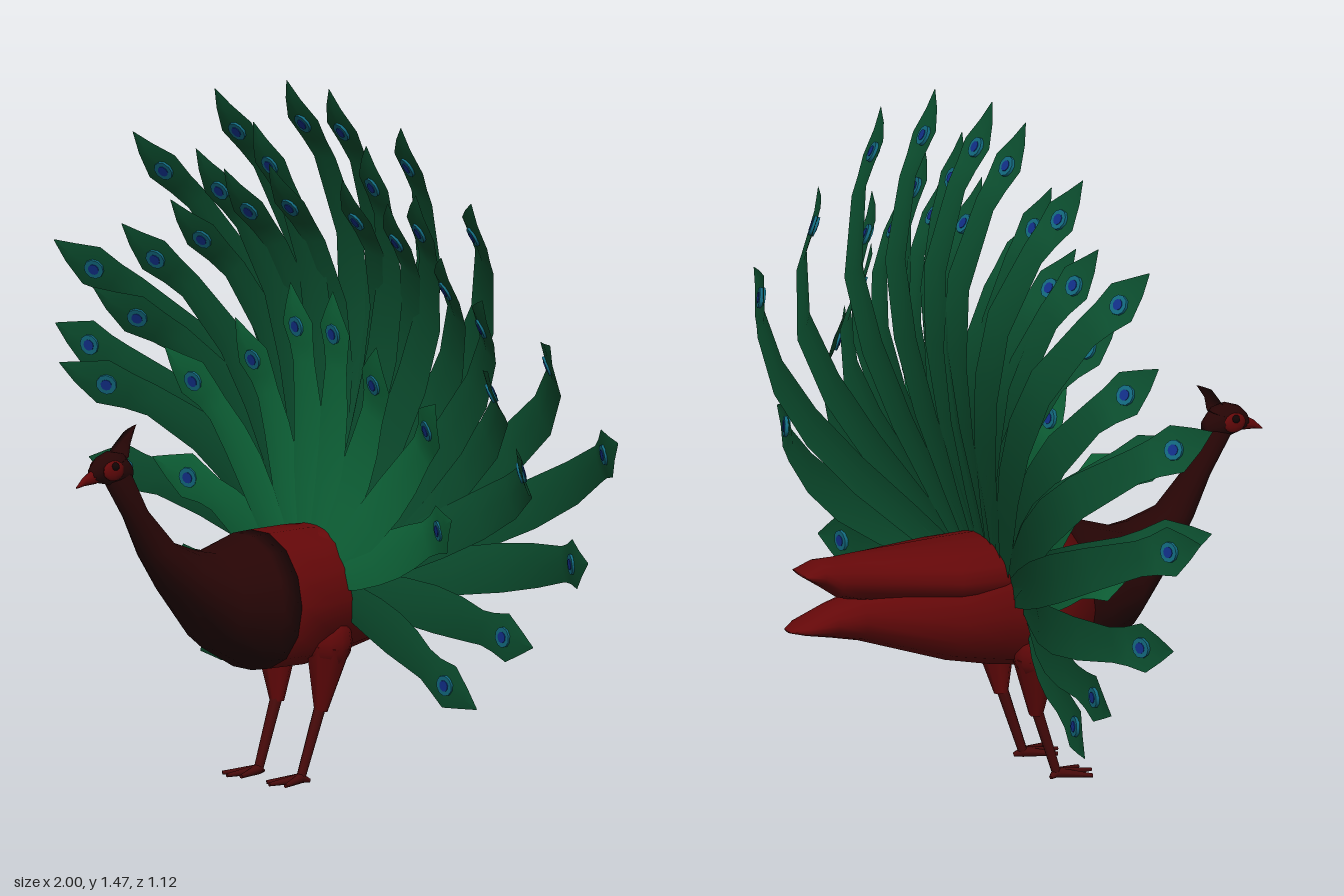
import * as THREE from 'three';

const paint = (color, side = THREE.FrontSide) => new THREE.MeshStandardMaterial({ color, side });
const MAT = {
  dark: paint(0x260505), red: paint(0x640809), leg: paint(0x480a0a), black: paint(0x120404),
  backVane: paint(0x0c5030, THREE.DoubleSide), frontVane: paint(0x0f6a3c, THREE.DoubleSide),
  eyeOuter: paint(0x126a80), eyeInner: paint(0x12308a),
};

function add(parent, name, geometry, material) {
  const mesh = new THREE.Mesh(geometry, material);
  mesh.name = name;
  parent.add(mesh);
  return mesh;
}

// Elliptical rings from front to back, each [z, y, halfWidth, halfHeight, backward tilt]
function loft(sections, n = 14) {
  const first = sections[0], last = sections[sections.length - 1];
  const rings = [[first[0], first[1], 0, 0], ...sections, [last[0], last[1], 0, 0]];
  const pos = [], index = [];
  rings.forEach(([z, y, rx, ry, tilt = 0], i) => {
    for (let j = 0; j < n; j++) {
      const a = (j / n) * Math.PI * 2, h = ry * Math.sin(a);
      pos.push(rx * Math.cos(a), y + h * Math.cos(tilt), z - h * Math.sin(tilt));
      if (i === rings.length - 1) continue;
      const k = (j + 1) % n, p = i * n, q = p + n;
      index.push(p + j, q + j, p + k, p + k, q + j, q + k);
    }
  });
  const g = new THREE.BufferGeometry();
  g.setAttribute('position', new THREE.Float32BufferAttribute(pos, 3));
  g.setIndex(index);
  g.computeVertexNormals();
  return g;
}

// Tapered round limb between two points
function limb(parent, name, from, to, r0, r1, material) {
  const a = new THREE.Vector3(...from), b = new THREE.Vector3(...to);
  const dir = b.clone().sub(a);
  const mesh = add(parent, name, new THREE.CylinderGeometry(r1, r0, dir.length(), 8), material);
  mesh.position.copy(a).add(b).multiplyScalar(0.5);
  mesh.quaternion.setFromUnitVectors(new THREE.Vector3(0, 1, 0), dir.normalize());
}

// Tail feather: a ridged strip that arches back, then curls forward into a diamond tip with an eyespot
function feather(parent, tipX, tipY, tipZ, baseZ, bulgeZ, material) {
  const group = new THREE.Group();
  group.name = 'tailFeather';
  const angle = Math.atan2(tipX, tipY - 0.42);
  const base = new THREE.Vector2(0.1 * Math.sin(angle), 0.42 + 0.03 * Math.cos(angle));
  const tip = new THREE.Vector2(tipX, tipY);
  const length = base.distanceTo(tip);
  const depth = new THREE.SplineCurve([
    [0, baseZ], [0.25, baseZ + (bulgeZ - baseZ) * 0.6], [0.5, bulgeZ],
    [0.75, bulgeZ + (tipZ - bulgeZ) * 0.13], [1, tipZ],
  ].map(p => new THREE.Vector2(...p)));
  const at = t => {
    const p = base.clone().lerp(tip, t);
    return new THREE.Vector3(p.x, p.y, depth.getPoint(t).y);
  };
  const side = new THREE.Vector3(tip.y - base.y, base.x - tip.x, 0).normalize();
  const normalAt = t => {
    const along = at(Math.min(1, t + 0.01)).sub(at(Math.max(0, t - 0.01)));
    return side.clone().cross(along).normalize();
  };
  // Rows of [position along the feather, half width]
  const neck = 1 - 0.17 / length;
  const rows = [[0, 0.028], [0.2, 0.043], [0.4, 0.05], [0.6, 0.052], [0.8, 0.047]].map(([t, w]) => [t * neck, w]);
  rows.push([neck, 0.038], [1 - 0.13 / length, 0.042], [1 - 0.085 / length, 0.053], [1 - 0.04 / length, 0.026], [1, 0.001]);
  const pos = [], index = [];
  rows.forEach(([t, w], i) => {
    const c = at(t), nrm = normalAt(t);
    for (const s of [-1, 0, 1]) {
      const p = c.clone().addScaledVector(side, s * w).addScaledVector(nrm, s ? 0 : w * 0.12);
      pos.push(p.x, p.y, p.z);
    }
    if (i === rows.length - 1) return;
    for (const k of [0, 1]) {
      const a = i * 3 + k;
      index.push(a, a + 1, a + 3, a + 1, a + 4, a + 3);
    }
  });
  const g = new THREE.BufferGeometry();
  g.setAttribute('position', new THREE.Float32BufferAttribute(pos, 3));
  g.setIndex(index);
  g.computeVertexNormals();
  add(group, 'featherVane', g, material);

  const t = 1 - 0.092 / length, nrm = normalAt(t);
  for (const [name, r, thick, mat] of [['eyespotRing', 0.022, 0.012, MAT.eyeOuter], ['eyespotCentre', 0.012, 0.015, MAT.eyeInner]]) {
    const spot = add(group, name, new THREE.CylinderGeometry(r, r, thick, 10), mat);
    spot.position.copy(at(t)).addScaledVector(nrm, 0.003);
    spot.quaternion.setFromUnitVectors(new THREE.Vector3(0, 1, 0), nrm);
  }
  parent.add(group);
}

export function createModel() {
  const model = new THREE.Group();
  model.name = 'peacock';

  // Neck and breast, then rump and the two tail lobes
  add(model, 'neckAndBreast', loft([
    [0.46, 0.68, 0.027, 0.032, 1.25], [0.413, 0.597, 0.029, 0.027, 1.25], [0.357, 0.515, 0.045, 0.041, 1.25],
    [0.295, 0.46, 0.078, 0.059, 0.66], [0.22, 0.395, 0.125, 0.106], [0.135, 0.385, 0.15, 0.145], [0.09, 0.386, 0.151, 0.147],
  ]), MAT.dark);
  add(model, 'rumpAndLowerTail', loft([
    [0.09, 0.386, 0.151, 0.147], [0, 0.388, 0.15, 0.148], [-0.1, 0.395, 0.13, 0.138], [-0.2, 0.39, 0.113, 0.108],
    [-0.4, 0.408, 0.06, 0.052], [-0.46, 0.408, 0.047, 0.037], [-0.53, 0.402, 0.04, 0.013], [-0.56, 0.4, 0.015, 0.003],
  ]), MAT.red);
  add(model, 'upperTail', loft([
    [0.1, 0.45, 0.06, 0.05], [0, 0.465, 0.092, 0.066], [-0.1, 0.473, 0.118, 0.067], [-0.2, 0.478, 0.113, 0.064],
    [-0.4, 0.495, 0.055, 0.051], [-0.45, 0.502, 0.046, 0.043], [-0.49, 0.517, 0.044, 0.028], [-0.53, 0.521, 0.035, 0.004],
  ]), MAT.red);

  // Head, beak and crest
  const head = new THREE.Group();
  head.name = 'head';
  model.add(head);
  add(head, 'skull', loft([
    [0.528, 0.69, 0.012, 0.016], [0.51, 0.698, 0.022, 0.028], [0.48, 0.7, 0.03, 0.037],
    [0.45, 0.695, 0.028, 0.036], [0.428, 0.688, 0.015, 0.018],
  ], 10), MAT.dark);
  add(head, 'beak', loft([[0.565, 0.666, 0.002, 0.002], [0.545, 0.678, 0.008, 0.01], [0.515, 0.688, 0.015, 0.018]], 8), MAT.red);
  add(head, 'crest', loft([
    [0.463, 0.715, 0.026, 0.03, 1.2], [0.45, 0.745, 0.022, 0.02, 1.2], [0.428, 0.778, 0.006, 0.02, 1.15],
  ], 8), MAT.dark);

  for (const s of [-1, 1]) {
    // Face
    const cheek = add(head, 'cheekPatch', new THREE.SphereGeometry(0.024, 10, 8), MAT.red);
    cheek.scale.set(0.35, 0.9, 1.1);
    cheek.position.set(s * 0.025, 0.698, 0.487);
    const eye = add(head, 'eye', new THREE.SphereGeometry(0.009, 8, 6), MAT.black);
    eye.position.set(s * 0.031, 0.708, 0.487);

    // Leg and splayed toes
    const leg = new THREE.Group();
    leg.name = s > 0 ? 'leftLeg' : 'rightLeg';
    model.add(leg);
    const hip = add(leg, 'hip', new THREE.SphereGeometry(0.05, 12, 8), MAT.red);
    hip.scale.y = 1.3;
    hip.position.set(s * 0.092, 0.3, -0.022);
    limb(leg, 'thigh', [s * 0.092, 0.29, -0.022], [s * 0.078, 0.15, -0.012], 0.05, 0.015, MAT.red);
    limb(leg, 'shank', [s * 0.078, 0.17, -0.014], [s * 0.075, 0.012, 0.038], 0.013, 0.01, MAT.leg);
    for (const [x, z] of [[0.045, 0.105], [0.075, 0.12], [0.112, 0.105], [0.083, 0.02]])
      limb(leg, 'toe', [s * 0.075, 0.011, 0.038], [s * x, 0.005, z], 0.011, 0.004, MAT.leg);
  }

  // Fan of feathers: tip x, y, z, then base z and deepest z of the arch
  const fan = new THREE.Group();
  fan.name = 'tailFan';
  model.add(fan);
  const back = [
    [0.075, 1.465, -0.035], [0.33, 1.415, -0.035], [0.6, 1.29, -0.02], [0.88, 1.025, -0.02, -0.08, -0.2],
    [0.998, 0.825, -0.11, -0.08, -0.215], [0.885, 0.555, -0.115, -0.06, -0.19],
    [0.655, 0.345, -0.14, -0.05, -0.13], [0.49, 0.195, -0.115, -0.04, -0.09],
  ];
  const middle = [
    [0.2, 1.36, -0.04], [0.39, 1.28, -0.03], [0.64, 1.09, -0.02], [0.82, 0.775, 0.01], [0.7, 0.95, 0.01],
    [0.29, 1.25, -0.03], [0.13, 1.28, -0.03], [0.48, 1.16, -0.03],
  ];
  const front = [[0.075, 1.035, -0.045], [0.25, 0.94, -0.03], [0.48, 0.85, -0.015], [0.53, 0.61, -0.02]];
  for (const s of [-1, 1]) {
    back.forEach(([x, y, z, base = -0.085, bulge = -0.185]) => feather(fan, s * x, y, z, base, bulge, MAT.backVane));
    middle.forEach(([x, y, z], i) => feather(fan, s * x, y, z, -0.075, -0.148 - 0.003 * i, MAT.backVane));
    front.forEach(([x, y, z]) => feather(fan, s * x, y, z, -0.035, -0.068, MAT.frontVane));
  }
  return model;
}
